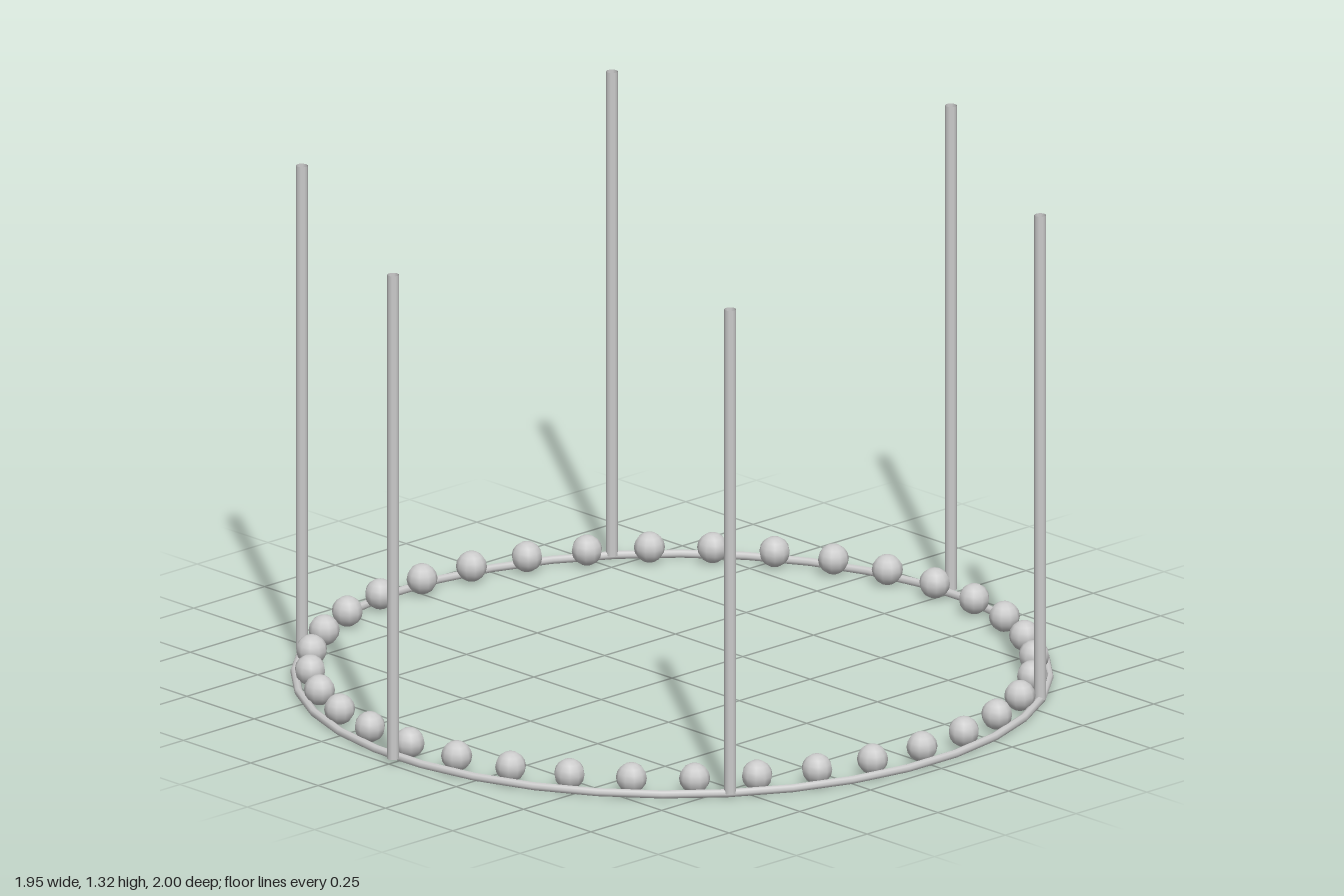
import * as THREE from 'three';

const STEPS = 36;

export function createModel() {
  const model = new THREE.Group();
  const grey = new THREE.MeshStandardMaterial({ color: 0xcccccc });
  const tubeGrey = new THREE.MeshStandardMaterial({ color: 0xcccccc, side: THREE.DoubleSide });

  const add = (name, geometry, material, x, y, z) => {
    const mesh = new THREE.Mesh(geometry, material);
    mesh.name = name;
    mesh.position.set(x, y, z);
    model.add(mesh);
    return mesh;
  };

  // Thin base ring, with flat sides facing the axes
  const ring = new THREE.TorusGeometry(0.966, 0.011, 8, STEPS);
  ring.rotateX(Math.PI / 2).rotateY(Math.PI / STEPS);
  add('baseRing', ring, grey, 0, 0.011, 0);

  // Balls spaced evenly along the inside of the ring
  const ball = new THREE.SphereGeometry(0.04, 10, 8);
  for (let i = 0; i < STEPS; i++) {
    const a = (i / STEPS) * Math.PI * 2;
    const mesh = add('ball', ball, grey, 0.928 * Math.sin(a), 0.042, 0.928 * Math.cos(a));
    mesh.rotation.y = a;
  }

  // Six hollow upright posts
  const bottom = 0.012, top = 1.318;
  const post = new THREE.CylinderGeometry(0.0155, 0.0155, top - bottom, 10, 1, true);
  const spots = [[0, 0.985], [0, -0.985]];
  for (const side of [1, -1]) spots.push([side * 0.795, 0.551], [side * 0.795, -0.544]);
  for (const [x, z] of spots) add('post', post, tubeGrey, x, (top + bottom) / 2, z);

  return model;
}
